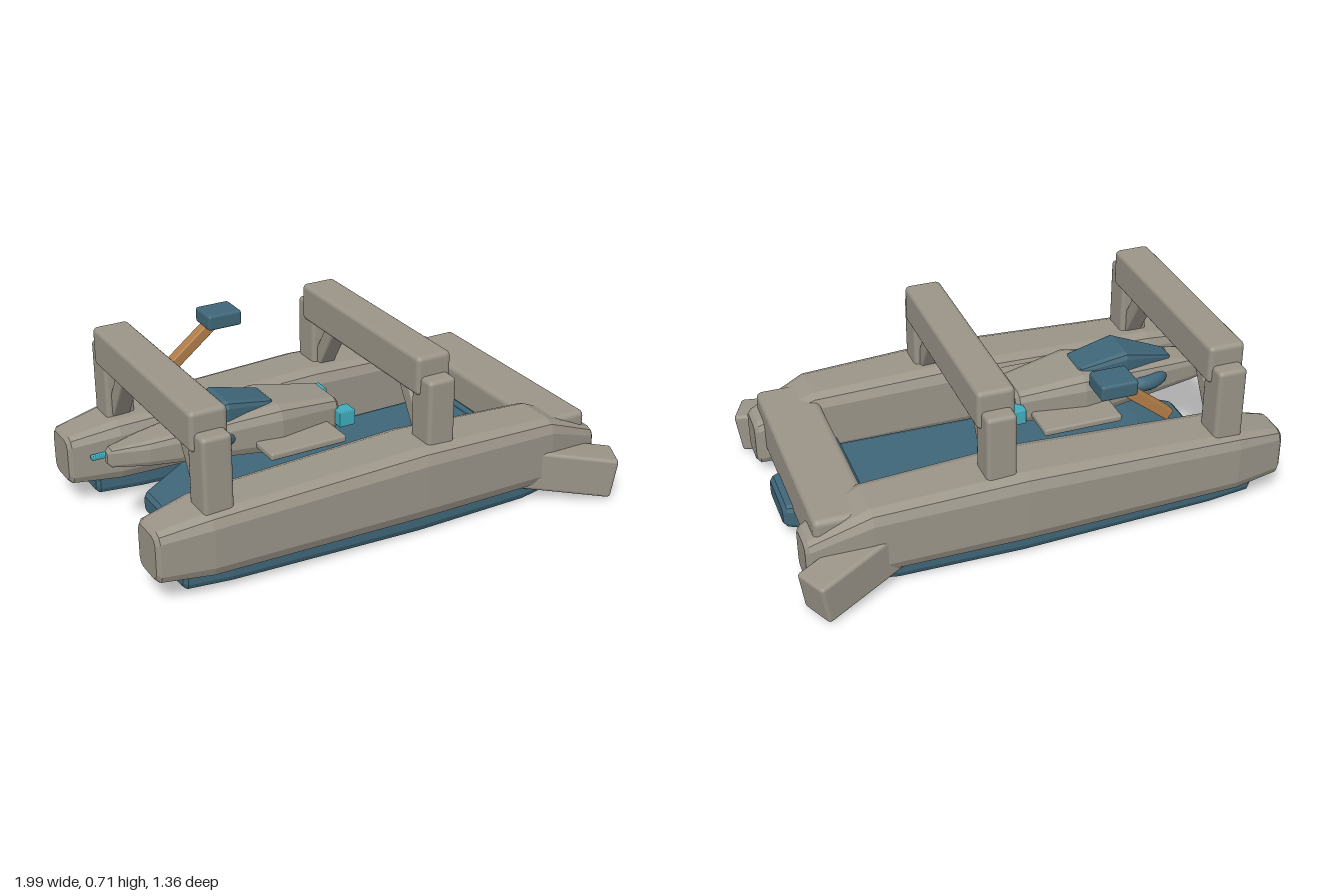
import * as THREE from 'three';
import { RoundedBoxGeometry } from 'three/addons/geometries/RoundedBoxGeometry.js';

const paint = (name, color) => {
  const m = new THREE.MeshStandardMaterial({ color });
  m.name = name;
  return m;
};

// Chamfered hull running along x; sections are [x, bottom, top, halfWidth]
function loft(sections, chamfer = 0.35, zc = 0, bevel = 0.015) {
  const inset = ([x, b, t, w], dx) => [x + dx, b + bevel, t - bevel, w - bevel];
  const first = sections[0], last = sections[sections.length - 1];
  const all = [inset(first, 0), [first[0] + bevel, ...first.slice(1)], ...sections.slice(1, -1),
    [last[0] - bevel, ...last.slice(1)], inset(last, 0)];
  const rings = all.map(([x, b, t, w]) => {
    const c = Math.min(w, (t - b) / 2) * chamfer, k = c * 0.3;
    // Each corner is a short three-point round
    const quarter = [[w, t - c], [w - k, t - k], [w - c, t]];
    const low = [[w - c, b], [w - k, b + k], [w, b + c]];
    return [
      ...low.map(([z, y]) => [-z, y]),
      ...quarter.map(([z, y]) => [-z, y]),
      ...quarter.slice().reverse(),
      ...low.slice().reverse(),
    ].map(([z, y]) => [x, y, z + zc]);
  });
  const pos = [];
  const tri = (...p) => p.forEach((v) => pos.push(...v));
  const n = rings[0].length;
  for (let s = 0; s < rings.length - 1; s++) {
    const a = rings[s], b = rings[s + 1];
    for (let i = 0; i < n; i++) {
      const j = (i + 1) % n;
      tri(a[i], a[j], b[j]);
      tri(a[i], b[j], b[i]);
    }
  }
  const start = rings[0], end = rings[rings.length - 1];
  for (let i = 1; i < n - 1; i++) {
    tri(start[0], start[i + 1], start[i]);
    tri(end[0], end[i], end[i + 1]);
  }
  const g = new THREE.BufferGeometry();
  g.setAttribute('position', new THREE.Float32BufferAttribute(pos, 3));
  g.computeVertexNormals();
  return g;
}

export function createModel() {
  const model = new THREE.Group();
  model.name = 'catamaran';
  const grey = paint('warm grey', 0x9a9488);
  const blue = paint('slate blue', 0x3f6678);
  const cyan = paint('cyan', 0x40acbc);
  const wood = paint('wood', 0xb07d48);

  const add = (name, geometry, material, x = 0, y = 0, z = 0) => {
    const mesh = new THREE.Mesh(geometry, material);
    mesh.name = name;
    mesh.position.set(x, y, z);
    model.add(mesh);
    return mesh;
  };
  const box = (name, material, size, at, r = 0.015) =>
    add(name, new RoundedBoxGeometry(...size, 2, r), material, ...at);

  // Twin outer hulls with keels, tail fins and inner light strips
  for (const s of [1, -1]) {
    add('outerHull', loft([
      [-1, 0.105, 0.31, 0.09],
      [-0.79, 0.09, 0.348, 0.127],
      [0.1, 0.08, 0.382, 0.145],
      [0.7, 0.072, 0.355, 0.127],
      [0.95, 0.055, 0.25, 0.083],
    ], 0.4, s * 0.425), grey);
    add('keel', loft([
      [-0.89, 0.035, 0.14, 0.075],
      [-0.7, 0.027, 0.14, 0.09],
      [0.1, 0.006, 0.14, 0.104],
      [0.6, 0.008, 0.14, 0.098],
      [0.75, 0.015, 0.12, 0.075],
    ], 0.5, s * 0.415), blue);
    const fin = box('tailFin', grey, [0.38, 0.17, 0.148], [0.788, 0.125, s * 0.535]);
    fin.rotation.set(0, -s * 0.436, -0.157);
    box('lightStrip', cyan, [0.52, 0.02, 0.022], [-0.66, 0.23, s * 0.303], 0.004);
  }

  // Low central hull
  add('centreHull', loft([
    [-0.8, 0.065, 0.155, 0.085],
    [-0.57, 0.025, 0.19, 0.205],
    [0.67, 0.02, 0.19, 0.222],
    [0.95, 0.06, 0.157, 0.125],
  ], 0.45), blue);
  box('deckRidge', blue, [0.025, 0.04, 0.45], [0.65, 0.185, 0], 0.008);

  // Raised arches with posts and diagonal braces
  for (const x of [-0.75, 0.19]) {
    box('archBeam', grey, [0.15, 0.16, 0.9], [x, 0.64, 0], 0.02);
    for (const s of [1, -1]) {
      box('archPost', grey, [0.12, 0.34, 0.13], [x, 0.47, s * 0.448], 0.018);
      const brace = box('archBrace', grey, [0.075, 0.3, 0.06], [x, 0.47, s * 0.34], 0.008);
      brace.rotation.x = -s * -0.56;
      brace.rotation.x *= -1;
    }
  }
  box('rearBeam', grey, [0.23, 0.21, 0.97], [0.795, 0.225, 0], 0.025);

  // Cockpit body hung between the hulls
  add('cockpitBody', loft([
    [-0.97, 0.345, 0.42, 0.027],
    [-0.82, 0.33, 0.435, 0.068],
    [-0.3, 0.29, 0.487, 0.152],
    [-0.02, 0.31, 0.445, 0.106],
  ], 0.5), grey);
  add('canopy', loft([
    [-0.72, 0.42, 0.462, 0.04],
    [-0.5, 0.43, 0.537, 0.095],
    [-0.3, 0.43, 0.495, 0.075],
  ], 0.5, 0, 0.008), blue);
  const ring = add('ringCollar', new THREE.TorusGeometry(0.113, 0.032, 12, 32), blue, -0.57, 0.395, 0);
  ring.rotation.x = Math.PI / 2;
  box('stubWing', grey, [0.33, 0.03, 0.52], [-0.245, 0.352, 0], 0.01);
  for (const s of [1, -1]) box('thruster', cyan, [0.07, 0.064, 0.068], [-0.01, 0.373, s * 0.114], 0.004);

  // Angled lever with its head above the right hull
  const lever = box('leverArm', wood, [0.32, 0.045, 0.05], [-0.385, 0.57, -0.45], 0.006);
  lever.rotation.z = 0.67;
  box('leverHead', blue, [0.15, 0.065, 0.13], [-0.275, 0.653, -0.45], 0.012);

  return model;
}
